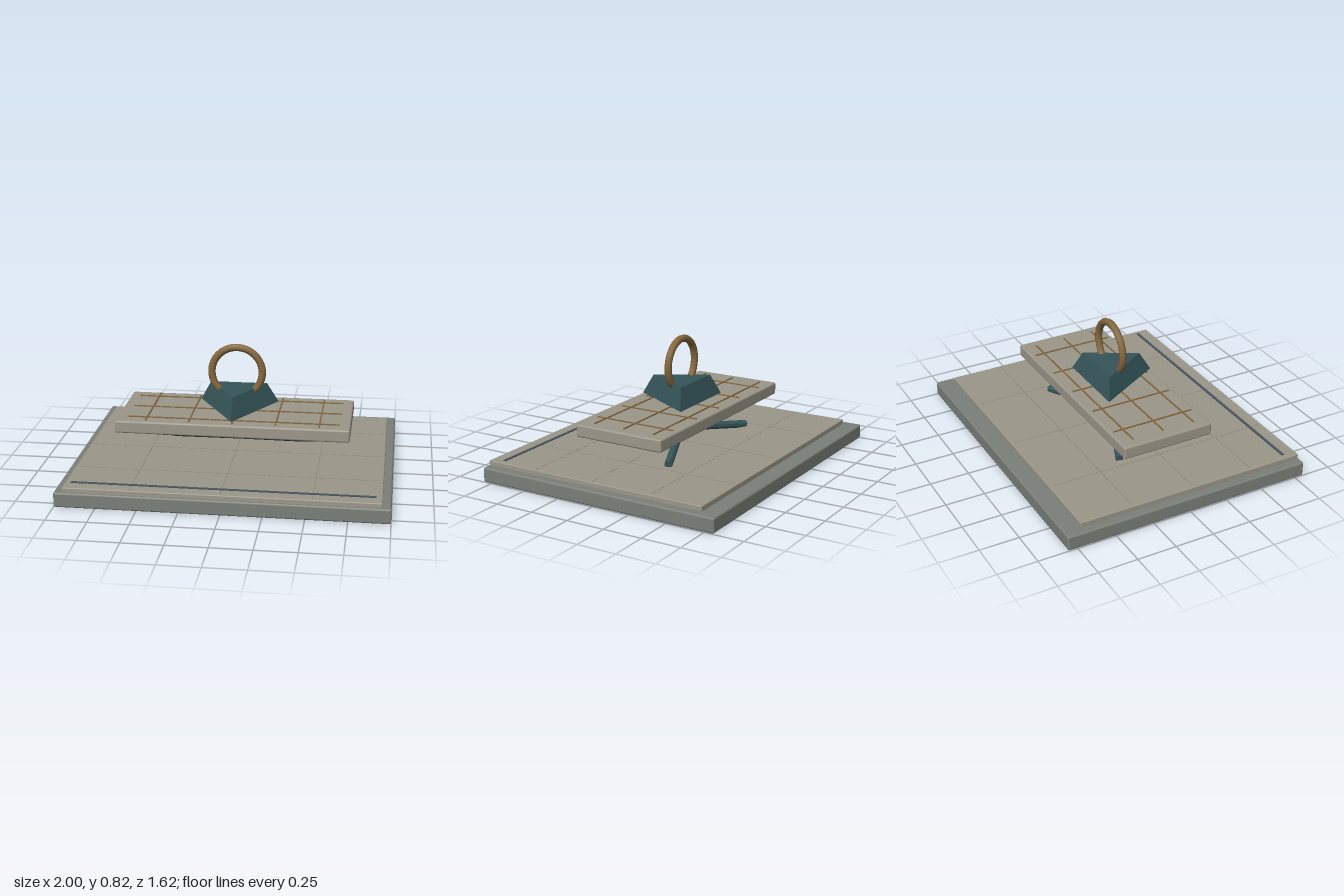
import * as THREE from 'three';
import { RoundedBoxGeometry } from 'three/addons/geometries/RoundedBoxGeometry.js';

const mat = (color, flatShading = false) => new THREE.MeshStandardMaterial({ color, flatShading });

export function createModel() {
  const model = new THREE.Group();
  const stone = mat(0x7a8079), slabStone = mat(0x9c978a), seam = mat(0x8a867b);
  const teal = mat(0x35565a, true), bronze = mat(0x86683f), dark = mat(0x4a5560);

  const add = (name, geometry, material, x = 0, y = 0, z = 0, parent = model) => {
    const mesh = new THREE.Mesh(geometry, material);
    mesh.name = name;
    mesh.position.set(x, y, z);
    parent.add(mesh);
    return mesh;
  };
  const slab = (name, w, h, d, r, material, y, z = 0) =>
    add(name, new RoundedBoxGeometry(w, h, d, 2, r), material, 0, y + h / 2, z);
  const group = (name) => {
    const g = new THREE.Group();
    g.name = name;
    model.add(g);
    return g;
  };

  // Stacked slabs
  slab('base', 2, 0.094, 1.62, 0.012, stone, 0);
  slab('lowerPlate', 1.894, 0.036, 1.505, 0.006, slabStone, 0.09, 0.05);
  slab('upperSlab', 1.46, 0.08, 0.6, 0.012, slabStone, 0.3);

  // Fine seams, flush with the lower plate
  const seams = group('plateSeams');
  for (const x of [-0.54, 0, 0.54])
    add('lengthSeam', new THREE.BoxGeometry(0.005, 0.002, 1.46), seam, x, 0.1257, 0.05, seams);
  for (const z of [-0.36, 0.05, 0.455])
    add('crossSeam', new THREE.BoxGeometry(1.86, 0.002, 0.005), seam, 0, 0.1257, z, seams);

  // Front edge strip
  add('frontStrip', new THREE.BoxGeometry(1.82, 0.012, 0.018), dark, 0, 0.125, 0.713);

  // Inlaid bronze grid on the upper slab
  const grid = group('inlayGrid');
  for (let i = -2; i <= 2; i++)
    add('inlayShort', new THREE.BoxGeometry(0.009, 0.01, 0.54), bronze, i * 0.27, 0.381, 0, grid);
  for (let i = -1; i <= 1; i++)
    add('inlayLong', new THREE.BoxGeometry(1.33, 0.01, 0.009), bronze, 0, 0.381, i * 0.208, grid);

  // Crossed struts between the slabs
  for (const s of [-1, 1]) {
    const a = new THREE.Vector3(-s * 0.485, 0.138, -0.2);
    const b = new THREE.Vector3(s * 0.485, 0.292, 0.2);
    const dir = b.clone().sub(a);
    const strut = add(s > 0 ? 'strutLeft' : 'strutRight',
      new THREE.CylinderGeometry(0.025, 0.025, dir.length(), 8), teal);
    strut.position.copy(a).add(b).multiplyScalar(0.5);
    strut.quaternion.setFromUnitVectors(new THREE.Vector3(0, 1, 0), dir.normalize());
  }

  // Three-sided pedestal, pointing forward
  add('pedestal', new THREE.CylinderGeometry(0.208, 0.29, 0.132, 3), teal, 0, 0.468, 0);

  // Open ring handle with closed ends
  const handle = group('ringHandle');
  handle.position.y = 0.635;
  const R = 0.16, r = 0.0235, arc = Math.PI * 1.5, start = -Math.PI / 4;
  add('ring', new THREE.TorusGeometry(R, r, 8, 36, arc), bronze, 0, 0, 0, handle).rotation.z = start;
  for (const s of [-1, 1]) {
    const cap = add('ringEnd', new THREE.CircleGeometry(r, 8), bronze,
      s * R * Math.SQRT1_2, -R * Math.SQRT1_2, 0, handle);
    cap.lookAt(cap.position.x - s, cap.position.y + handle.position.y - 1, 0);
  }
  return model;
}
